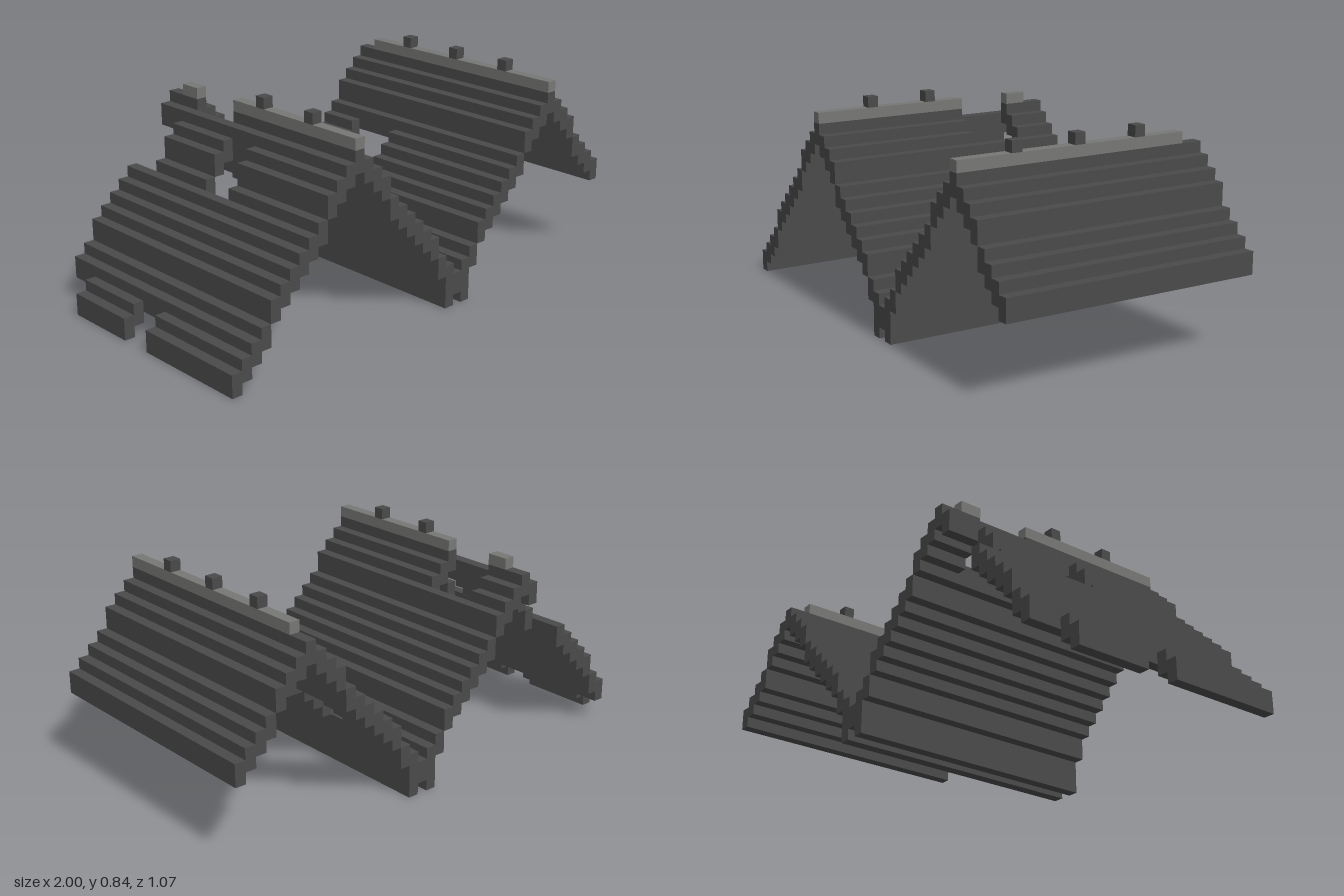
import * as THREE from 'three';

const U = 2 / 45;      // one block
const COLS = 45, ROWS = 24;

// top height (in blocks) of the roof at each column away from the ridge
const TOPS = [17, 16, 15, 14, 12, 11, 10, 9, 8, 7, 5, 4, 3, 2];

// openings through the roof: columns c0..c1, rows r0..r1 (ends excluded)
const HOLES = [
  { c0: 0, c1: 2, r0: 0, r1: 3 },
  { c0: 0, c1: 2, r0: 10, r1: 13 },
  { c0: 9, c1: 12, r0: 0, r1: 3 },
  { c0: 9, c1: 12, r0: 10, r1: 13 },
  { c0: 13, c1: 16, r0: 4, r1: 9 },
  { c0: 28, c1: 33, r0: 4, r1: 9 },
];

const isHole = (c, r) => HOLES.some((h) => c >= h.c0 && c < h.c1 && r >= h.r0 && r < h.r1);

// runs of solid rows in one column
function solidRuns(c, from, to) {
  const runs = [];
  let start = -1;
  for (let r = from; r <= to; r++) {
    const solid = r < to && !isHole(c, r);
    if (solid && start < 0) start = r;
    if (!solid && start >= 0) {
      runs.push([start, r]);
      start = -1;
    }
  }
  return runs;
}

export function createModel() {
  const dark = new THREE.MeshStandardMaterial({ color: 0x4a4a4a });
  dark.name = 'darkSlate';
  const light = new THREE.MeshStandardMaterial({ color: 0x777775 });
  light.name = 'lightStone';

  // bar one column wide, in block units
  function bar(parent, name, material, c, y0, y1, r0, r1) {
    const mesh = new THREE.Mesh(new THREE.BoxGeometry(U, (y1 - y0) * U, (r1 - r0) * U), material);
    mesh.position.set((c + 0.5 - COLS / 2) * U, ((y0 + y1) / 2) * U, ((r0 + r1) / 2 - ROWS / 2) * U);
    mesh.name = name;
    parent.add(mesh);
  }

  function roof(name, ridge, first, last) {
    const group = new THREE.Group();
    group.name = name;
    // stepped slopes
    for (let c = first; c <= last; c++) {
      const top = TOPS[Math.abs(c - ridge)];
      for (const [a, b] of solidRuns(c, 0, ROWS)) bar(group, 'roofStep', dark, c, top - 2, top, a, b);
    }
    // ridge cap, stopping short of the back
    for (const [a, b] of solidRuns(ridge, 2, ROWS)) bar(group, 'ridgeCap', light, ridge, 17, 18, a, b);
    // studs on the ridge
    for (const r of [6, 12, 18]) {
      if (!isHole(ridge, r)) bar(group, 'ridgeStud', dark, ridge, 18, 19, r, r + 1);
    }
    return group;
  }

  const model = new THREE.Group();
  model.name = 'twinGableRoof';
  model.add(roof('rightRoof', 13, 0, 26));
  const leftRoof = roof('leftRoof', 37, 26, 44);
  // outer lip of the valley gutter, where the two slopes cross
  bar(leftRoof, 'valleyLip', dark, 24, 0, 2, 0, ROWS);
  model.add(leftRoof);
  return model;
}
